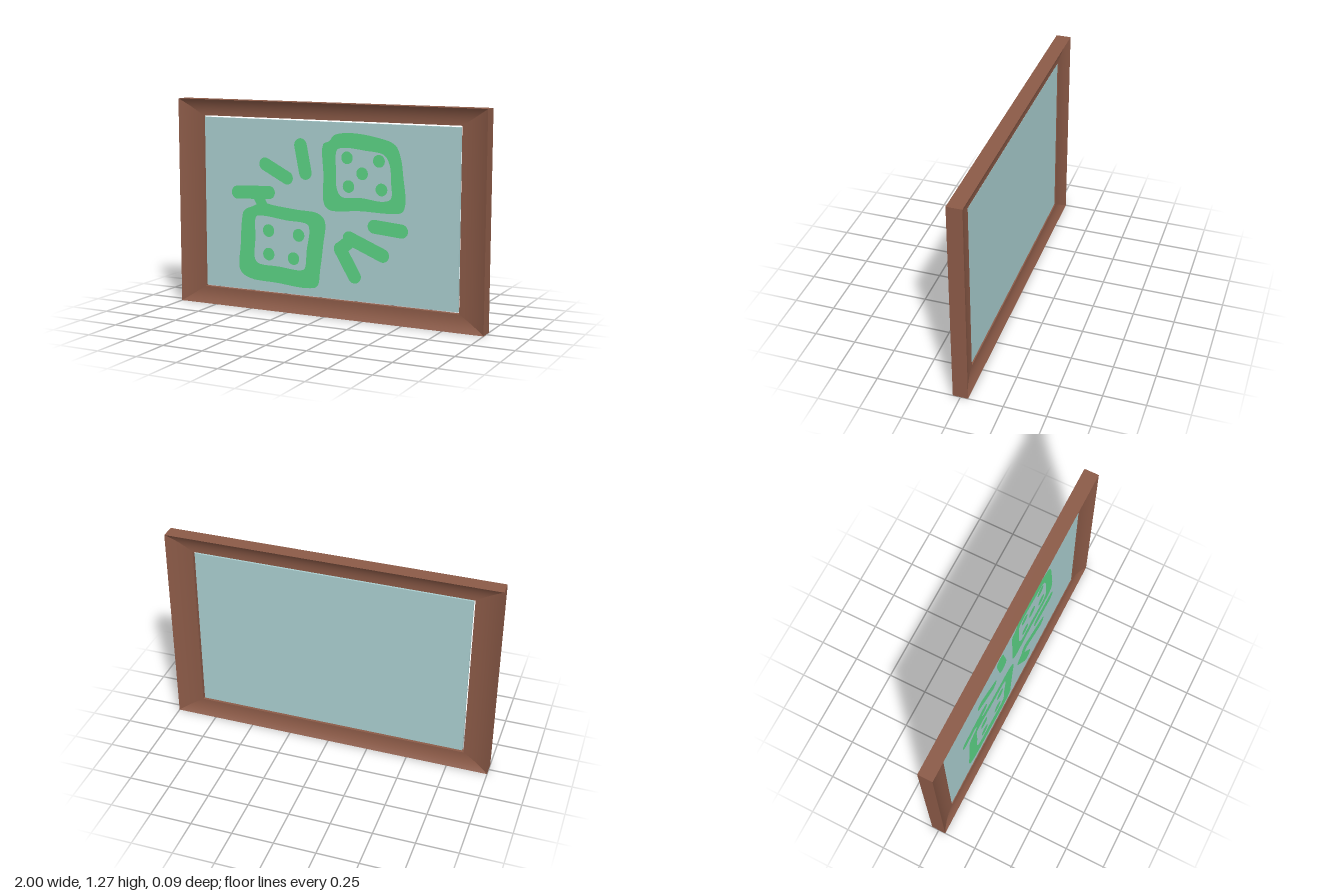
import * as THREE from 'three';
import { toCreasedNormals } from 'three/addons/utils/BufferGeometryUtils.js';

const W = 1, H = 1.272, INNER_X = 0.842, INNER_LOW = 0.102, INNER_HIGH = 1.172;
const DEPTH = 0.045, LIP = 0.014, PANE = 0.01;

const material = (name, color) => Object.assign(new THREE.MeshStandardMaterial({ color }), { name });

// Half of the moulding profile: [0 at outer edge .. 1 at opening, z], a concave cove
function coveProfile(steps = 10) {
  const front = [];
  for (let i = 0; i <= steps; i++) {
    const t = i / steps;
    front.push([t, LIP + (DEPTH - LIP) * Math.pow(1 - t, 2.3)]);
  }
  const back = front.map(([t, z]) => [t, -z]).reverse();
  return [...front, ...back];
}

// One mitred frame bar swept between two corners
function barGeometry(outerA, outerB, innerA, innerB) {
  const profile = coveProfile();
  const at = (outer, inner, [t, z]) => [
    THREE.MathUtils.lerp(outer[0], inner[0], t),
    THREE.MathUtils.lerp(outer[1], inner[1], t), z];
  const positions = [];
  profile.forEach((p, i) => {
    const q = profile[(i + 1) % profile.length];
    const a = at(outerA, innerA, p), b = at(outerB, innerB, p);
    const c = at(outerB, innerB, q), d = at(outerA, innerA, q);
    positions.push(...a, ...b, ...c, ...a, ...c, ...d);
  });
  const geometry = new THREE.BufferGeometry();
  geometry.setAttribute('position', new THREE.Float32BufferAttribute(positions, 3));
  return toCreasedNormals(geometry, 0.4);
}

// Smooth closed outline through a few points
function smoothLoop(points) {
  const curve = new THREE.CatmullRomCurve3(points.map(([x, y]) => new THREE.Vector3(x, y, 0)), true);
  return curve.getPoints(72).slice(0, -1).map(p => new THREE.Vector2(p.x, p.y));
}

// Hand-painted square outline
function ringShape(outer, inner) {
  const shape = new THREE.Shape(smoothLoop(outer));
  shape.holes.push(new THREE.Path(smoothLoop(inner)));
  return shape;
}

// Round-ended brush stroke
function strokeShape(x1, y1, x2, y2, r) {
  const angle = Math.atan2(y2 - y1, x2 - x1), q = Math.PI / 2;
  const shape = new THREE.Shape();
  shape.absarc(x2, y2, r, angle - q, angle + q, false);
  shape.absarc(x1, y1, r, angle + q, angle + 3 * q, false);
  shape.closePath();
  return shape;
}

function dotShape(x, y, r) {
  const shape = new THREE.Shape();
  shape.absarc(x, y, r, 0, Math.PI * 2, false);
  return shape;
}

export function createModel() {
  const wood = material('brown wood', 0x8b5a47);
  const glass = material('pale blue pane', 0xa9cdcf);
  const paint = material('green paint', 0x5bd284);
  const model = new THREE.Group();
  model.name = 'framedPicture';

  const add = (parent, name, geometry, mat) => {
    const mesh = new THREE.Mesh(geometry, mat);
    mesh.name = name;
    parent.add(mesh);
    return mesh;
  };

  // Frame: four mitred bars, counter-clockwise from the bottom
  const frame = new THREE.Group();
  frame.name = 'frame';
  model.add(frame);
  const outer = [[-W, 0], [W, 0], [W, H], [-W, H]];
  const inner = [[-INNER_X, INNER_LOW], [INNER_X, INNER_LOW], [INNER_X, INNER_HIGH], [-INNER_X, INNER_HIGH]];
  ['bottomBar', 'leftBar', 'topBar', 'rightBar'].forEach((name, i) => {
    const j = (i + 1) % 4;
    add(frame, name, barGeometry(outer[i], outer[j], inner[i], inner[j]), wood);
  });

  // Pane, with a narrow gap to the frame
  const gap = 0.01;
  const pane = add(model, 'pane', new THREE.BoxGeometry(
    2 * (INNER_X - gap), INNER_HIGH - INNER_LOW - 2 * gap, 2 * PANE), glass);
  pane.position.y = (INNER_LOW + INNER_HIGH) / 2;

  // Painting on the front of the pane
  const painting = new THREE.Group();
  painting.name = 'painting';
  painting.position.z = PANE + 0.002;
  model.add(painting);
  const addPaint = (name, shape) => add(painting, name, new THREE.ShapeGeometry(shape, 20), paint);

  addPaint('upperSquare', ringShape(
    [[-0.02, 1.03], [0.02, 1.05], [0.05, 1.085], [0.14, 1.103], [0.32, 1.085], [0.44, 1.045], [0.475, 0.97],
      [0.49, 0.87], [0.505, 0.71], [0.485, 0.66], [0.43, 0.648], [0.22, 0.65], [0.02, 0.643],
      [-0.015, 0.68], [-0.018, 0.85]],
    [[0.07, 1.0], [0.11, 1.015], [0.25, 1.005], [0.37, 0.985], [0.405, 0.93], [0.415, 0.83], [0.415, 0.735],
      [0.37, 0.715], [0.23, 0.727], [0.1, 0.727], [0.07, 0.77], [0.063, 0.89]]));
  addPaint('lowerSquare', ringShape(
    [[-0.56, 0.6], [-0.5, 0.63], [-0.43, 0.657], [-0.35, 0.645], [-0.2, 0.63], [-0.05, 0.615], [-0.008, 0.57],
      [-0.02, 0.43], [-0.04, 0.28], [-0.06, 0.175], [-0.13, 0.157], [-0.33, 0.17], [-0.53, 0.185],
      [-0.592, 0.23], [-0.585, 0.4], [-0.577, 0.53]],
    [[-0.475, 0.57], [-0.43, 0.577], [-0.27, 0.56], [-0.125, 0.545], [-0.112, 0.51], [-0.13, 0.39],
      [-0.145, 0.275], [-0.175, 0.262], [-0.32, 0.272], [-0.465, 0.282], [-0.487, 0.31], [-0.482, 0.44]]));

  [[0.135, 0.958], [0.338, 0.948], [0.232, 0.87], [0.145, 0.79], [0.355, 0.783]]
    .forEach(([x, y]) => addPaint('upperDot', dotShape(x, y, 0.037)));
  [[-0.39, 0.488], [-0.185, 0.475], [-0.39, 0.343], [-0.22, 0.33]]
    .forEach(([x, y]) => addPaint('lowerDot', dotShape(x, y, 0.039)));

  [[-0.17, 1.017, -0.138, 0.855, 0.042], [-0.41, 0.893, -0.262, 0.817, 0.04],
    [-0.605, 0.71, -0.385, 0.722, 0.04], [-0.455, 0.685, -0.43, 0.64, 0.035],
    [0.31, 0.565, 0.482, 0.55, 0.041], [0.15, 0.485, 0.365, 0.398, 0.041],
    [0.092, 0.415, 0.185, 0.258, 0.042], [0.092, 0.415, 0.16, 0.47, 0.04]]
    .forEach(s => addPaint('brushStroke', strokeShape(...s)));

  return model;
}
